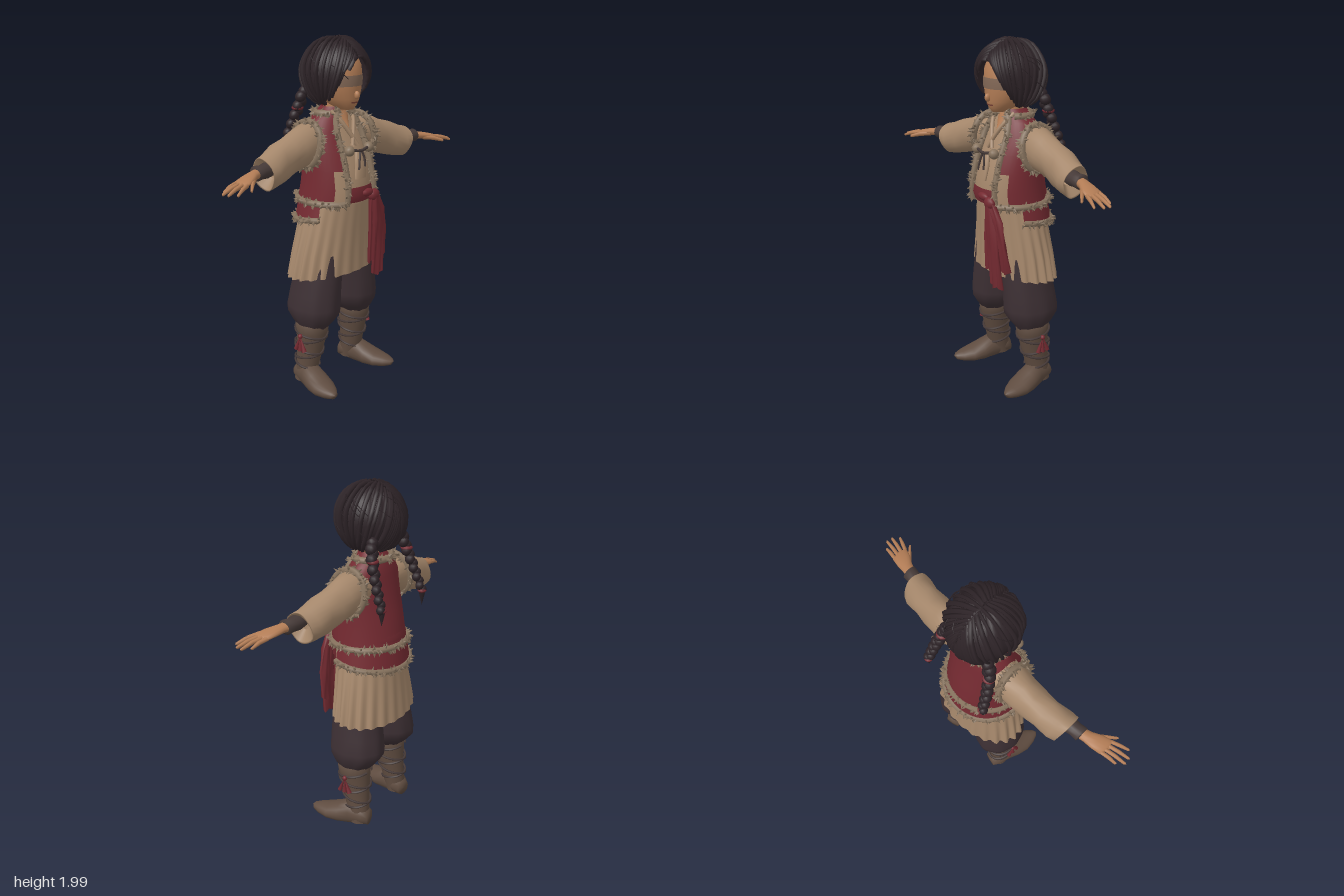
import * as THREE from 'three';
import { mergeGeometries } from 'three/addons/utils/BufferGeometryUtils.js';

const V = (x, y, z) => new THREE.Vector3(x, y, z);
let seed = 7;
const rnd = () => (seed = (seed * 16807) % 2147483647) / 2147483647;
const mat = (name, color, two) => {
  const m = new THREE.MeshStandardMaterial({ color });
  m.name = name;
  if (two) m.side = THREE.DoubleSide;
  return m;
};

// point on an elliptical ring [x, y, z, r1, r2]; angle 0 is front (axis y) or up (axis x)
const ring = ([x, y, z, r1, r2], a, axis = 'y') => axis === 'y'
  ? V(x + r1 * Math.sin(a), y, z + r2 * Math.cos(a))
  : V(x, y + r1 * Math.cos(a), z + r2 * Math.sin(a));

// skin over rings listed in ascending order along the axis
function loft(rows, { n = 20, axis = 'y', a0 = 0, a1 = Math.PI * 2, mod } = {}) {
  const closed = a1 - a0 > 6.28, cols = closed ? n : n + 1, pos = [], idx = [];
  rows.forEach((row, i) => {
    for (let j = 0; j < cols; j++) {
      const a = a0 + (a1 - a0) * j / n, v = ring(row, a, axis);
      if (mod) mod(v, a, i / (rows.length - 1), row);
      pos.push(v.x, v.y, v.z);
      if (!i || j >= n) continue;
      const p = (i - 1) * cols + j, q = (i - 1) * cols + (j + 1) % cols;
      idx.push(p, q, q + cols, p, q + cols, p + cols);
    }
  });
  const g = new THREE.BufferGeometry();
  g.setAttribute('position', new THREE.Float32BufferAttribute(pos, 3));
  g.setIndex(idx);
  g.computeVertexNormals();
  return g;
}
const merge = gs => mergeGeometries(gs.map(g => { g.deleteAttribute('uv'); return g; }));
const curve = (pts, closed = false) => new THREE.CatmullRomCurve3(pts, closed);
const tube = (pts, r, seg = 10, sides = 6, closed = false) => new THREE.TubeGeometry(curve(pts, closed), seg, r, sides, closed);
const ball = (x, y, z, rx, ry = rx, rz = rx) => new THREE.SphereGeometry(1, 12, 9).scale(rx, ry, rz).translate(x, y, z);
const flip = g => {
  const m = g.clone().applyMatrix4(new THREE.Matrix4().makeScale(-1, 1, 1)), ix = m.index;
  for (let i = 0; i < ix.count; i += 3) { const b = ix.getX(i + 1); ix.setX(i + 1, ix.getX(i + 2)); ix.setX(i + 2, b); }
  return m;
};

// shaggy trim: a core tube with small tufts pointing outward
function fur(pts, r, closed = false) {
  const c = curve(pts, closed), len = c.getLength(), parts = [new THREE.TubeGeometry(c, Math.ceil(len / 0.02), r * 0.75, 6, closed)];
  for (let i = 0, n = Math.ceil(len / 0.0055); i < n; i++) {
    const u = i / n, t = c.getTangentAt(u), d = V(rnd() - 0.5, rnd() - 0.6, rnd() - 0.5);
    d.addScaledVector(t, -d.dot(t)).normalize().addScaledVector(t, rnd() - 0.5).normalize();
    const g = new THREE.ConeGeometry(r * 0.45, r * 1.2, 4).translate(0, r * 0.6, 0);
    g.applyQuaternion(new THREE.Quaternion().setFromUnitVectors(V(0, 1, 0), d));
    const p = c.getPointAt(u).addScaledVector(d, r * 0.4);
    parts.push(g.translate(p.x, p.y, p.z));
  }
  return merge(parts);
}

export function createModel() {
  const root = new THREE.Group();
  const skin = mat('skin', 0xb27c55), shirt = mat('linen', 0xa5876b, true), trim = mat('fur', 0x87735e), red = mat('red cloth', 0x742a31, true),
    dark = mat('trouser cloth', 0x3c2f33, true), boot = mat('boot leather', 0x5f4c40), hair = mat('hair', 0x2d2327, true),
    strap = mat('dark leather', 0x463a38), eye = mat('eye shade', 0x836856, true), lip = mat('lips', 0x7c4438, true);
  const add = (name, g, m) => { const o = new THREE.Mesh(g, m); o.name = name; root.add(o); };
  const pair = (name, g, m) => { add(name + 'Left', g, m); add(name + 'Right', flip(g), m); };
  const grow = (rows, d) => rows.map(([x, y, z, a, b]) => [x, y, z, a + d, b + d]);
  const span = (a, b, n, f) => Array.from({ length: n + 1 }, (_, i) => f(a + (b - a) * i / n));

  // head and face
  const head = [[0, 1.608, 0.08, 0, 0], [0, 1.612, 0.075, 0.035, 0.04], [0, 1.635, 0.05, 0.066, 0.082], [0, 1.67, 0.02, 0.1, 0.122], [0, 1.72, 0.01, 0.122, 0.135],
    [0, 1.77, 0.003, 0.13, 0.145], [0, 1.84, -0.005, 0.13, 0.147], [0, 1.9, -0.01, 0.11, 0.12], [0, 1.94, -0.01, 0, 0]];
  add('head', loft(head, { n: 28 }), skin);
  add('neck', new THREE.CylinderGeometry(0.055, 0.065, 0.17, 16).translate(0, 1.59, -0.012), skin);
  add('nose', ball(0, 1.692, 0.148, 0.014, 0.022, 0.018), skin);
  add('eyeBand', loft(grow([[0, 1.738, 0.007, 0.125, 0.139], [0, 1.77, 0.003, 0.13, 0.145], [0, 1.795, 0, 0.13, 0.146]], 0.003), { a0: -0.85, a1: 0.85 }), eye);
  add('mouth', loft(grow([[0, 1.648, 0.039, 0.079, 0.097], [0, 1.656, 0.032, 0.087, 0.106]], 0.003), { n: 6, a0: -0.32, a1: 0.32 }), lip);
  pair('ear', ball(0.134, 1.725, -0.005, 0.016, 0.035, 0.024), skin);

  // parted hair: cap with an arched hairline, covered with strands
  const limit = a => 1.05 + 1.5 * THREE.MathUtils.smoothstep(Math.abs(a), 0, 1.5);
  const polar = (a, p) => V(Math.sin(p) * Math.sin(a), Math.cos(p), Math.sin(p) * Math.cos(a));
  const onHead = (d, k) => V(d.x * 0.175 * k, 1.797 + d.y * 0.18 * k, d.z * 0.175 * k - 0.008);
  add('hairCap', loft(span(0, 1, 14, () => [0, 0, 0, 0, 0]), {
    n: 64, a0: -Math.PI, a1: Math.PI, mod: (v, a, t) => v.copy(onHead(polar(a, limit(a) * (1 - t)), 1 + 0.02 * Math.sin(a * 16)))
  }), hair);
  const strands = [];
  for (const s of [1, -1]) for (let i = 0; i < 26; i++) {
    const u = i / 25, b = 1.05 - u * 2.6, a = s * (0.3 + u * 2.75);
    const d0 = V(s * 0.03, Math.cos(b), Math.sin(b)).normalize(), d1 = polar(a, limit(a) + (rnd() - 0.5) * 0.2), k = 1 + rnd() * 0.035;
    strands.push(tube(span(0, 1, 6, t => onHead(d0.clone().lerp(d1, t).normalize(), k + 0.05 * Math.sin(t * 3.1))), 0.008 + rnd() * 0.006, 12, 5));
  }
  for (let i = 0; i < 16; i++) { // loose wisps
    const a = rnd() * 6.28 - 3.14, p = 0.5 + rnd() * 1.2;
    if (Math.abs(a) < 0.7) continue;
    strands.push(tube(span(0, 1, 4, t => onHead(polar(a + t * 0.5, p + t * 0.4), 1.02 + 0.1 * Math.sin(t * 3))), 0.0025, 8, 3));
  }
  add('hairStrands', merge(strands), hair);

  // braids with red ties
  const braid = curve([V(0.14, 1.7, -0.11), V(0.165, 1.6, -0.135), V(0.185, 1.5, -0.17), V(0.2, 1.38, -0.213)]);
  pair('braid', merge(span(0, 1, 13, u => {
    const p = braid.getPointAt(u), w = Math.round(u * 13) % 2 ? 1 : -1, r = 0.032 - u * 0.009;
    return ball(0, 0, 0, r * 0.95, r * 1.05, r).rotateZ(w * 0.5).translate(p.x + w * 0.008, p.y, p.z);
  })), hair);
  pair('braidTip', new THREE.ConeGeometry(0.022, 0.09, 8).rotateX(Math.PI).translate(0.2, 1.335, -0.215), hair);
  pair('braidTie', merge([ball(0.163, 1.615, -0.132, 0.034, 0.016, 0.034), ball(0.2, 1.375, -0.214, 0.025, 0.013, 0.025)]), red);

  // shirt body under an open vest
  const body = [[0, 1.11, 0, 0.22, 0.205], [0, 1.2, 0.01, 0.21, 0.2], [0, 1.3, 0.008, 0.205, 0.18], [0, 1.4, 0.003, 0.2, 0.15],
    [0, 1.5, -0.012, 0.19, 0.12], [0, 1.56, -0.02, 0.15, 0.1], [0, 1.6, -0.02, 0.095, 0.082], [0, 1.625, -0.015, 0.075, 0.07]];
  const open = 0.52, back = Math.PI * 2 - open;
  add('shirtBody', loft(grow(body.slice(0, 7), -0.012), { n: 32 }), shirt);
  add('throat', loft(grow(body.slice(4, 7), -0.008), { n: 6, a0: -0.4, a1: 0.4, mod: (v, a, t) => { v.x *= t; } }), skin);
  pair('lapel', tube([V(0.075, 1.605, 0.03), V(0.055, 1.56, 0.075), V(0.015, 1.49, 0.112), V(-0.02, 1.42, 0.138)], 0.012, 10), shirt);
  add('vest', loft(body, { n: 36, a0: open, a1: back }), red);
  pair('vestPatch', loft(grow(body.slice(0, 3), 0.004), { n: 6, a0: open, a1: 0.86 }), shirt);
  pair('vestFrontFur', fur(body.map(r => ring(r, open)), 0.024), trim);
  add('collarFur', fur(span(0.9, Math.PI * 2 - 0.9, 14, a => ring([0, 1.59, -0.02, 0.112, 0.095], a)), 0.026), trim);
  add('vestHemFur', fur(span(open, back, 24, a => ring([0, 1.12, 0, 0.222, 0.207], a)), 0.024), trim);
  pair('armholeFur', fur(span(0, 5.9, 14, a => V(0.222 - 0.022 * Math.cos(a), 1.44 + 0.12 * Math.cos(a), -0.015 + 0.105 * Math.sin(a))), 0.025, true), trim);

  // rear flap, lower at the back
  const drop = a => -0.06 * (1 - Math.cos(a)) / 2;
  add('rearFlap', loft([[0, 1.06, -0.005, 0.235, 0.215], [0, 1.13, 0, 0.215, 0.2]], { n: 28, a0: 1.2, a1: 5.08, mod: (v, a, t) => { v.y += drop(a) * (1 - t); } }), red);
  add('rearFlapFur', fur(span(1.2, 5.08, 20, a => ring([0, 1.05 + drop(a), -0.005, 0.237, 0.216], a)), 0.023), trim);

  // toggles and cord
  pair('toggle', ball(0.078, 1.405, 0.168, 0.028), trim);
  add('cord', merge([tube([V(-0.07, 1.41, 0.175), V(0, 1.4, 0.185), V(0.07, 1.41, 0.175)], 0.008),
    tube([V(-0.005, 1.4, 0.18), V(-0.02, 1.35, 0.19), V(-0.03, 1.3, 0.195)], 0.006), tube([V(0.005, 1.4, 0.18), V(0.018, 1.36, 0.19), V(0.02, 1.31, 0.195)], 0.006)]), strap);
  add('neckCloth', loft([[-0.01, 1.25, 0.19, 0.045, 0.012], [0, 1.33, 0.175, 0.04, 0.018], [0, 1.39, 0.155, 0.02, 0.015]], { n: 12 }), shirt);

  // pleated skirt
  add('skirt', loft([[0, 0.7, -0.03, 0.3, 0.188], [0, 0.83, -0.023, 0.275, 0.182], [0, 0.97, -0.012, 0.24, 0.178], [0, 1.15, 0, 0.2, 0.18]], {
    n: 132, mod: (v, a, t) => {
      const k = 1 + 0.045 * (1 - t) * Math.sin(a * 22) * (0.4 + 0.6 * Math.abs(Math.sin(a)));
      v.x *= k; v.z *= k; v.y -= 0.035 * (1 - t) * (1 - Math.cos(a)) / 2;
    }
  }), shirt);

  // sash
  add('belt', loft([[0, 1.12, 0, 0.205, 0.197], [0, 1.16, 0.005, 0.21, 0.206], [0, 1.205, 0.008, 0.204, 0.194]], { n: 32 }), red);
  add('sashKnot', merge([ball(0.085, 1.14, 0.205, 0.04, 0.035, 0.025), ball(0.03, 1.165, 0.205, 0.045, 0.022, 0.02)]), red);
  const fold = { n: 24, mod: (v, a, t) => { v.z += 0.008 * Math.sin(v.x * 160); v.y += (1 - t) * 0.012 * Math.sin(v.x * 90); } };
  add('sashTails', merge([
    loft([[0.135, 0.66, 0.195, 0, 0], [0.135, 0.66, 0.195, 0.05, 0.016], [0.125, 0.85, 0.205, 0.046, 0.016], [0.105, 1, 0.21, 0.042, 0.018], [0.085, 1.13, 0.205, 0.03, 0.02]], fold),
    loft([[0.192, 0.76, 0.175, 0, 0], [0.192, 0.76, 0.175, 0.035, 0.014], [0.175, 0.92, 0.19, 0.034, 0.014], [0.15, 1.05, 0.197, 0.033, 0.016], [0.1, 1.14, 0.2, 0.025, 0.018]], fold),
    loft([[0.075, 0.75, 0.2, 0, 0], [0.075, 0.75, 0.2, 0.028, 0.012], [0.075, 0.95, 0.205, 0.028, 0.013], [0.08, 1.12, 0.205, 0.025, 0.015]], fold)]), red);

  // sleeves, wrist wraps and hands
  pair('sleeve', loft([[0.1, 1.45, -0.02, 0.08, 0.08], [0.21, 1.44, -0.02, 0.112, 0.1], [0.3, 1.42, -0.015, 0.108, 0.09], [0.36, 1.4, -0.01, 0.1, 0.086], [0.44, 1.378, 0, 0.1, 0.088],
    [0.52, 1.352, 0.015, 0.092, 0.088], [0.565, 1.345, 0.025, 0.088, 0.08], [0.565, 1.347, 0.026, 0.082, 0.074], [0.53, 1.36, 0.035, 0.04, 0.04]], {
    n: 24, axis: 'x', mod: (v, a, t, r) => { v.x += 0.02 * Math.cos(a) * t; v.z += 0.006 * Math.sin(a * 3 + r[0] * 30); }
  }), shirt);
  pair('wristWrap', loft([[0.52, 1.375, 0.045, 0.034, 0.036], [0.57, 1.372, 0.047, 0.04, 0.044], [0.6, 1.37, 0.05, 0.035, 0.04], [0.64, 1.37, 0.053, 0.039, 0.043], [0.645, 1.37, 0.055, 0.02, 0.025]], { n: 16, axis: 'x' }), strap);
  const finger = (x0, y0, z0, x1, y1, z1, r) => loft([[x0, y0, z0, r, r], [(x0 + x1) / 2, (y0 + y1) / 2 + 0.004, (z0 + z1) / 2, r * 0.95, r * 0.95],
    [x1 - 0.008, y1, z1 - 0.003, r * 0.65, r * 0.65], [x1, y1, z1, 0, 0]], { n: 8, axis: 'x' });
  pair('hand', merge([
    loft([[0.62, 1.37, 0.053, 0.026, 0.03], [0.67, 1.367, 0.066, 0.023, 0.034], [0.72, 1.36, 0.083, 0.02, 0.047], [0.77, 1.352, 0.096, 0.015, 0.05], [0.79, 1.348, 0.1, 0, 0]], { n: 14, axis: 'x' }),
    ...[0.865, 0.9, 0.895, 0.865].map((x, k) => finger(0.765, 1.351, 0.06 + 0.025 * k, x, 1.328, 0.078 + 0.033 * k, 0.0115)),
    finger(0.68, 1.357, 0.09, 0.785, 1.335, 0.18, 0.014)]), skin);

  // baggy trousers
  pair('trouserLeg', loft([[0.178, 0.37, -0.015, 0.08, 0.09], [0.17, 0.41, -0.02, 0.11, 0.125], [0.162, 0.46, -0.025, 0.137, 0.16], [0.16, 0.5, -0.025, 0.14, 0.163],
    [0.153, 0.58, -0.02, 0.132, 0.158], [0.14, 0.68, -0.012, 0.125, 0.148], [0.12, 0.82, -0.01, 0.12, 0.14]], {
    n: 48, mod: (v, a, t, r) => { const k = 1 + 0.025 * (1 - t) * Math.sin(a * 9); v.x = r[0] + (v.x - r[0]) * k; v.z *= k; }
  }), dark);

  // boots: shaft, turned-out foot, crossed lacing and tassel
  pair('bootShaft', loft([[0.2, 0.02, -0.065, 0.062, 0.06], [0.192, 0.14, -0.045, 0.063, 0.073], [0.186, 0.24, -0.032, 0.072, 0.083], [0.183, 0.34, -0.02, 0.088, 0.096],
    [0.183, 0.395, -0.018, 0.096, 0.1], [0.183, 0.4, -0.018, 0.07, 0.08]], { n: 20 }), boot);
  pair('bootFoot', loft([[-0.072, 0.045, 0, 0, 0], [-0.068, 0.045, 0, 0.045, 0.045], [-0.03, 0.06, 0, 0.062, 0.062], [0.05, 0.06, 0, 0.08, 0.064], [0.12, 0.045, 0, 0.063, 0.074],
    [0.19, 0.035, 0, 0.045, 0.072], [0.25, 0.034, 0, 0.033, 0.05], [0.29, 0.035, 0, 0.02, 0.025], [0.305, 0.04, 0, 0, 0]], {
    n: 20, axis: 'x', mod: v => { v.y = Math.max(v.y, 0); }
  }).rotateY(-Math.PI / 2 + 0.22).translate(0.2, 0, -0.06), boot);
  const lace = s => tube(span(0, 1, 40, u => {
    const y = 0.11 + 0.25 * u, r = 0.066 + 0.027 * u;
    return ring([0.194 - 0.011 * u, y, -0.05 + 0.03 * u, r, r + 0.01], s * (u * 15 + 0.5));
  }), 0.007, 80, 5);
  pair('bootLacing', merge([lace(1), lace(-1)]), strap);
  pair('bootTassel', merge([ball(0.28, 0.33, -0.02, 0.014), ...[-1, 0, 1].map(k =>
    new THREE.ConeGeometry(0.014, 0.09, 6).rotateX(k * 0.35).translate(0.283, 0.285, -0.02 - k * 0.018))]), red);
  return root;
}
